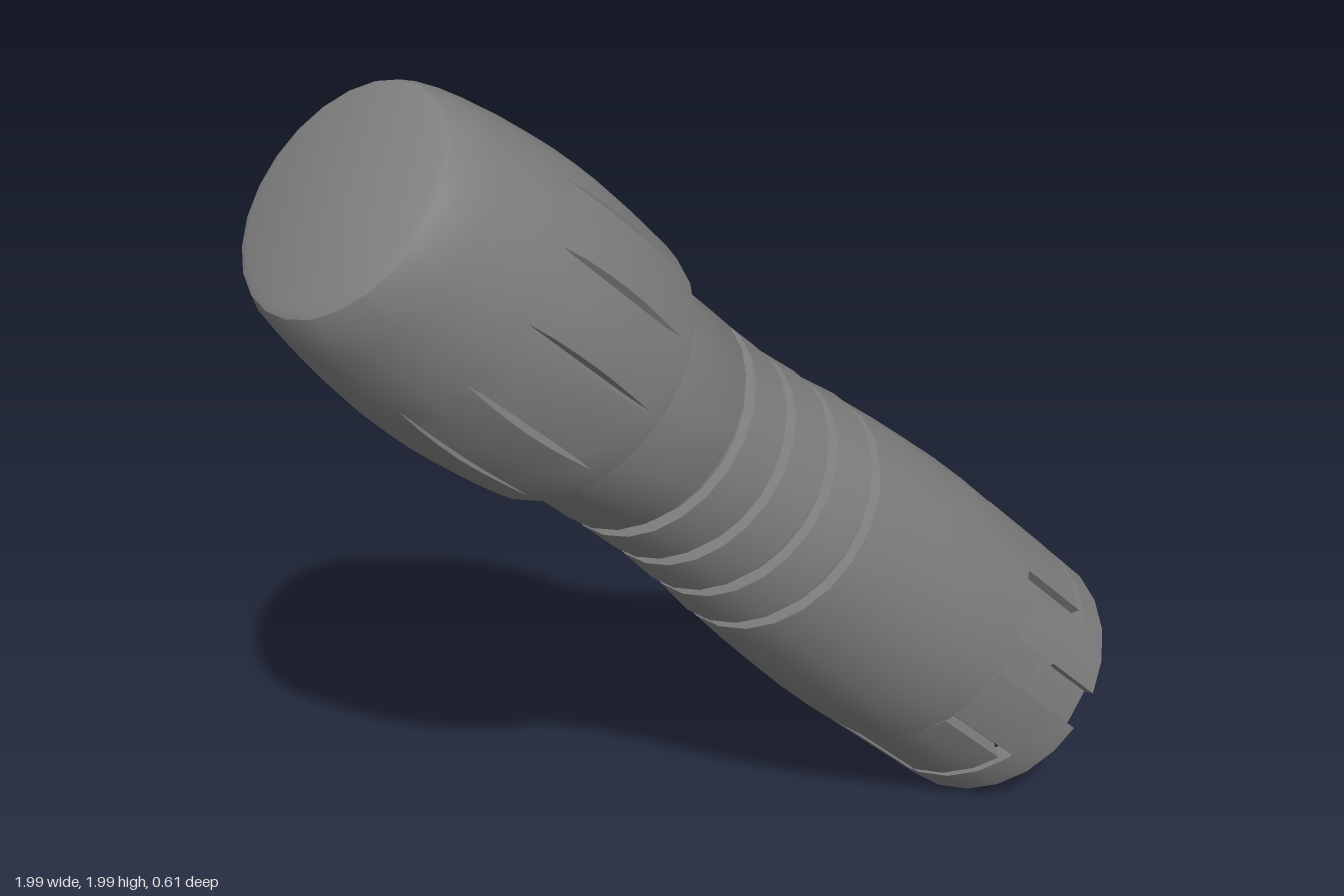
import * as THREE from 'three';
import { toCreasedNormals } from 'three/addons/utils/BufferGeometryUtils.js';

const RAD = Math.PI / 180;
const SIDES = 24;
const R_OUT = 0.304, R_IN = 0.265;
const SLEEVE_TOP = 0.35;

export function createModel() {
  const model = new THREE.Group();
  model.name = 'connector';
  const material = new THREE.MeshStandardMaterial({ color: 0x808080 });

  // Everything is built upright along y, then tilted 45 degrees
  const tilted = new THREE.Group();
  tilted.name = 'tiltedConnector';
  tilted.rotation.z = Math.PI / 4;
  tilted.position.set(0.78, 0.217, 0);
  model.add(tilted);

  function add(name, geometry, crease = 0.6) {
    const mesh = new THREE.Mesh(toCreasedNormals(geometry, crease), material);
    mesh.name = name;
    tilted.add(mesh);
  }
  const lathe = (profile, sides = SIDES) =>
    new THREE.LatheGeometry(profile.map(([r, y]) => new THREE.Vector2(r, y)), sides);

  // Curved wall piece between two angles (degrees, from +x towards +z) and two heights
  function wall(name, a0, a1, y0, y1, rIn = R_IN, rOut = R_OUT) {
    const angles = [a0];
    for (let a = Math.floor(a0 / 15 + 1) * 15; a < a1 - 0.01; a += 15) angles.push(a);
    angles.push(a1);
    const at = (r) => (a) => new THREE.Vector2(r * Math.cos(a * RAD), -r * Math.sin(a * RAD));
    const shape = new THREE.Shape([...angles.map(at(rOut)), ...angles.reverse().map(at(rIn))]);
    const geo = new THREE.ExtrudeGeometry(shape, { depth: y1 - y0, bevelEnabled: false });
    geo.rotateX(-Math.PI / 2).translate(0, y0, 0);
    add(name, geo);
  }

  // Small outline in (angle, height), thickened radially and bent round the axis
  function bentPlate(name, points, rIn, rOut) {
    const shape = new THREE.Shape(points.map(([a, y]) => new THREE.Vector2(-a * RAD, y)));
    const geo = new THREE.ExtrudeGeometry(shape, { depth: rOut - rIn, bevelEnabled: false });
    const p = geo.attributes.position;
    for (let i = 0; i < p.count; i++) {
      const a = -p.getX(i), r = rIn + p.getZ(i);
      p.setXYZ(i, r * Math.cos(a), p.getY(i), r * Math.sin(a));
    }
    geo.computeVertexNormals();
    add(name, geo);
  }

  // Body: bore, barrel, ribbed waist and plain neck
  const body = [[0, 0.85], [0.222, 0.85], [0.222, SLEEVE_TOP], [R_OUT, SLEEVE_TOP],
    [0.305, 0.46], [0.302, 0.58], [0.294, 0.7], [0.285, 0.82]];
  for (const [y, r] of [[0.945, 0.274], [1.085, 0.258], [1.225, 0.248], [1.367, 0.247]]) {
    body.push([r, y - 0.017], [r - 0.022, y - 0.013], [r - 0.022, y + 0.013], [r, y + 0.017]);
  }
  body.push([0.249, 1.39], [0.252, 1.62]);
  add('barrelBody', lathe(body));

  // Socket sleeve: three spring tabs, each freed by a U-shaped slot
  const keyA = 75, keyB = 92;
  wall('sleeveRim', keyB - 360, keyA, 0, 0.09);
  for (let k = 0; k < 3; k++) {
    const a = k * 120;
    wall('springTab', a + 2.3, a + 44.7, 0.112, SLEEVE_TOP);
    if (k > 0) wall('sleeveWall', a + 49.3, a + 117.7, 0.09, SLEEVE_TOP);
  }

  // Sleeve wall with the pointed keyway open to the rim
  const keyMid = (keyA + keyB) / 2;
  wall('sleeveWall', 49.3, keyA, 0.09, SLEEVE_TOP);
  wall('sleeveWall', keyB, 117.7, 0.09, SLEEVE_TOP);
  wall('keywayFloor', keyA, keyB, 0, 0.235, 0.237, 0.28);
  wall('keywayTop', keyA, keyB, 0.235, SLEEVE_TOP);
  for (const edge of [keyA, keyB]) {
    bentPlate('keywayShoulder', [[edge, 0.19], [keyMid, 0.235], [edge, 0.235]], 0.27, R_OUT);
  }

  // Guide ribs inside the socket
  wall('guideRib', 220, 226, 0.02, SLEEVE_TOP, 0.237, 0.275);
  wall('boreRib', 161, 167, SLEEVE_TOP, 0.47, 0.2, 0.225);

  // Head: barrel-shaped grip with twelve slim lens-shaped grooves
  const head = [[0.24, 1.615], [0.287, 1.615], [0.294, 1.66], [0.298, 1.72], [0.302, 1.78],
    [0.304, 1.84], [0.303, 1.9], [0.3, 1.96], [0.294, 2.02], [0.284, 2.1], [0.268, 2.19],
    [0.255, 2.245], [0.239, 2.278], [0.218, 2.288], [0, 2.288]];
  const headGeo = lathe(head, 48);
  const p = headGeo.attributes.position;
  for (let i = 0; i < p.count; i++) {
    const column = Math.floor(i / head.length), row = i % head.length;
    const [r, y] = head[row];
    const lens = y > 1.66 && y < 2.02 ? Math.sin(Math.PI * (y - 1.66) / 0.36) : 0;
    // Four columns per groove: centre, right lip, midway, left lip
    const lip = 0.4 + 1.2 * lens;
    const a = (Math.floor(column / 4) * 30 + [0, lip, 15, 30 - lip][column % 4]) * RAD;
    const radius = column % 4 === 0 ? r - 0.02 * lens : r;
    p.setXYZ(i, radius * Math.sin(a), y, radius * Math.cos(a));
  }
  add('gripHead', headGeo, 0.5);

  return model;
}
